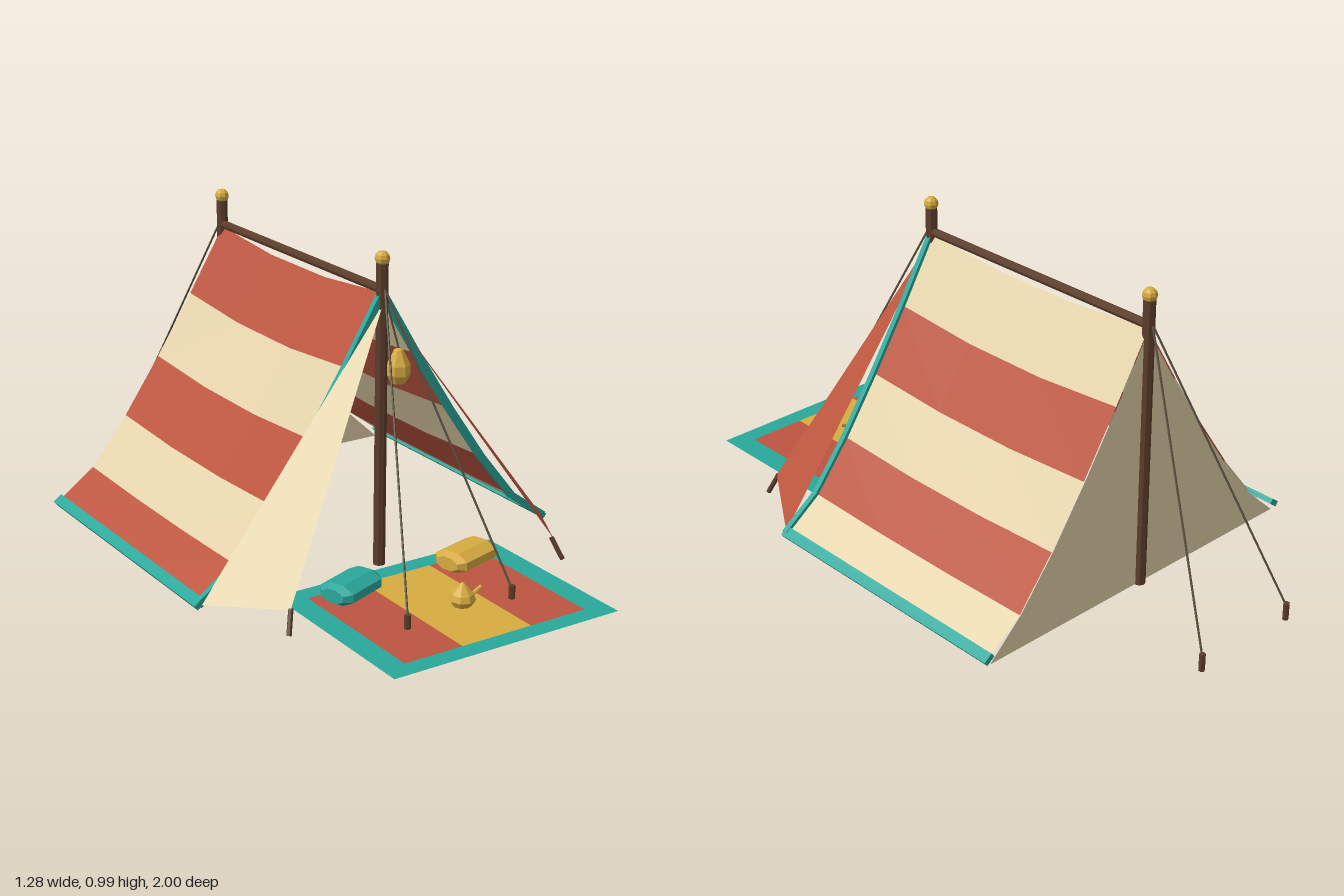
import * as THREE from 'three';

const mat = (color, side = THREE.FrontSide) =>
  new THREE.MeshStandardMaterial({ color, side, flatShading: true });
const RED = 0xbc5640, CREAM = 0xe4d3aa, TEAL = 0x2aa89b, GOLD = 0xd6ab40, WOOD = 0x5c3d2b, ROPE = 0x5a5040;
const V = (x, y, z) => new THREE.Vector3(x, y, z);
const FRONT = 0.355, BACK = -0.57;

// Roof cross-section from ridge to hem, with the sag of each row at mid length
const PROFILE = [[0, 0.867], [0.125, 0.66], [0.25, 0.465], [0.375, 0.284], [0.5, 0.128], [0.625, 0.037]];
const SAG = [0.026, 0.023, 0.018, 0.013, 0.006, 0];

export function createModel() {
  const model = new THREE.Group();

  const add = (name, geometry, color, side) => {
    const mesh = new THREE.Mesh(geometry, mat(color, side));
    mesh.name = name;
    model.add(mesh);
    return mesh;
  };

  // Round rod between two points
  const rod = (name, a, b, r, color, sides = 8) => {
    const mesh = add(name, new THREE.CylinderGeometry(r, r, a.distanceTo(b), sides), color);
    mesh.position.copy(a).add(b).multiplyScalar(0.5);
    mesh.quaternion.setFromUnitVectors(V(0, 1, 0), b.clone().sub(a).normalize());
    return mesh;
  };

  // Thin sheet through rows of points
  const sheet = (name, rows, color) => {
    const n = rows[0].length, index = [];
    for (let i = 0; i < rows.length - 1; i++)
      for (let j = 0; j < n - 1; j++) {
        const a = i * n + j;
        index.push(a, a + n, a + 1, a + 1, a + n, a + n + 1);
      }
    const g = new THREE.BufferGeometry().setFromPoints(rows.flat());
    g.setIndex(index);
    g.computeVertexNormals();
    return add(name, g, color, THREE.DoubleSide);
  };

  // Poles, finials and ridge
  for (const z of [FRONT, BACK]) {
    rod('pole', V(0, 0.013, z), V(0, 0.955, z), 0.0185, WOOD);
    add('finial', new THREE.SphereGeometry(0.023, 8, 6), GOLD).position.set(0, 0.97, z);
  }
  rod('ridgePole', V(0, 0.876, FRONT + 0.01), V(0, 0.876, BACK - 0.01), 0.014, WOOD);

  for (const s of [1, -1]) {
    // Striped roof, the two sides in opposite order
    const row = i => [0, 1, 2, 3].map(k =>
      V(s * PROFILE[i][0], PROFILE[i][1] - (k % 3 ? SAG[i] : 0), BACK + (FRONT - BACK) * k / 3));
    for (let i = 0; i < 5; i++)
      sheet('roofStripe', [row(i), row(i + 1)], (i % 2 === 0) === (s > 0) ? CREAM : RED);

    // Bound front edge and hem
    for (let i = 0; i < 5; i++) {
      const [x0, y0] = PROFILE[i], [x1, y1] = PROFILE[i + 1];
      const trim = add('frontTrim',
        new THREE.BoxGeometry(0.022, Math.hypot(x1 - x0, y1 - y0) + 0.006, 0.018), TEAL);
      trim.position.set(s * (x0 + x1) / 2, (y0 + y1) / 2, FRONT);
      trim.rotation.z = s * Math.atan2(x1 - x0, y0 - y1);
    }
    const hem = add('hem', new THREE.BoxGeometry(0.034, 0.018, FRONT - BACK + 0.012), TEAL);
    hem.position.set(s * 0.623, 0.038, (FRONT + BACK) / 2);
    hem.rotation.z = -s * 0.65;

    // Door flap folded forward, with its stake
    const apex = V(0, 0.84, FRONT + 0.008);
    sheet('doorFlap', [[apex, apex.clone()],
      [V(s * 0.62, 0.035, FRONT + 0.008), V(s * 0.47, 0.078, 0.605)]], s > 0 ? RED : CREAM);
    rod('flapStake', V(s * 0.466, 0.08, 0.6), V(s * 0.49, 0.013, 0.628), 0.008, WOOD, 6);

    // Guy ropes and pegs
    for (const [z0, z1] of [[FRONT + 0.015, 0.768], [BACK - 0.015, -0.985]]) {
      rod('guyRope', V(0, 0.88, z0), V(s * 0.185, 0.045, z1), 0.0035, ROPE, 5);
      rod('peg', V(s * 0.185, 0, z1), V(s * 0.185, 0.056, z1), 0.01, WOOD, 6);
    }
  }

  // Back wall
  const half = PROFILE.slice(1, 5).map(([x, y]) => [x - 0.006, y]).concat([[0.615, 0.015]]);
  const wall = new THREE.Shape([[0, 0.86], ...half, ...half.map(([x, y]) => [-x, y]).reverse()]
    .map(([x, y]) => new THREE.Vector2(x, y)));
  add('backWall', new THREE.ShapeGeometry(wall), CREAM, THREE.DoubleSide).position.z = BACK;

  // Rug: border frame and three stripes
  const rect = (Type, x0, x1, z0, z1) => new Type()
    .moveTo(x0, -z1).lineTo(x1, -z1).lineTo(x1, -z0).lineTo(x0, -z0).closePath();
  const rugPart = (name, shape, color) => {
    const mesh = add(name, new THREE.ShapeGeometry(shape), color, THREE.DoubleSide);
    mesh.rotation.x = -Math.PI / 2;
    mesh.position.y = 0.014;
  };
  const border = rect(THREE.Shape, -0.39, 0.39, 0.39, 1);
  border.holes.push(rect(THREE.Path, -0.315, 0.315, 0.45, 0.94));
  rugPart('rugBorder', border, TEAL);
  for (const [x0, x1, color] of [[-0.315, -0.12, RED], [-0.12, 0.12, GOLD], [0.12, 0.315, RED]])
    rugPart('rugStripe', rect(THREE.Shape, x0, x1, 0.45, 0.94), color);

  const lathe = (points, sides) =>
    new THREE.LatheGeometry(points.map(([r, y]) => new THREE.Vector2(r, y)), sides);

  // Bolster cushions
  for (const [x, color, turn] of [[-0.208, TEAL, 0.36], [0.207, GOLD, 0.27]]) {
    const g = lathe([[0, -0.092], [0.65, -0.092], [1, -0.07], [1, 0.07], [0.65, 0.092], [0, 0.092]], 8);
    g.rotateY(Math.PI / 8).rotateZ(Math.PI / 2).scale(1, 0.034, 0.064);
    const cushion = add('cushion', g, color);
    cushion.position.set(x, 0.053, 0.515);
    cushion.rotation.y = turn;
  }

  // Hanging lantern
  add('lantern', lathe([[0, 0.592], [0.022, 0.594], [0.036, 0.62], [0.036, 0.65], [0.014, 0.695], [0, 0.702]], 7), GOLD)
    .position.set(0.04, 0, 0.385);
  rod('lanternCord', V(0.04, 0.7, 0.385), V(0.005, 0.85, FRONT + 0.012), 0.003, ROPE, 5);

  // Teapot with spout
  add('teapot', lathe([[0, 0.022], [0.028, 0.023], [0.04, 0.042], [0.034, 0.06], [0.012, 0.085], [0, 0.097]], 8), GOLD)
    .position.set(0.025, 0, 0.742);
  rod('teapotSpout', V(0.055, 0.045, 0.742), V(0.092, 0.066, 0.742), 0.006, GOLD, 6);

  return model;
}
